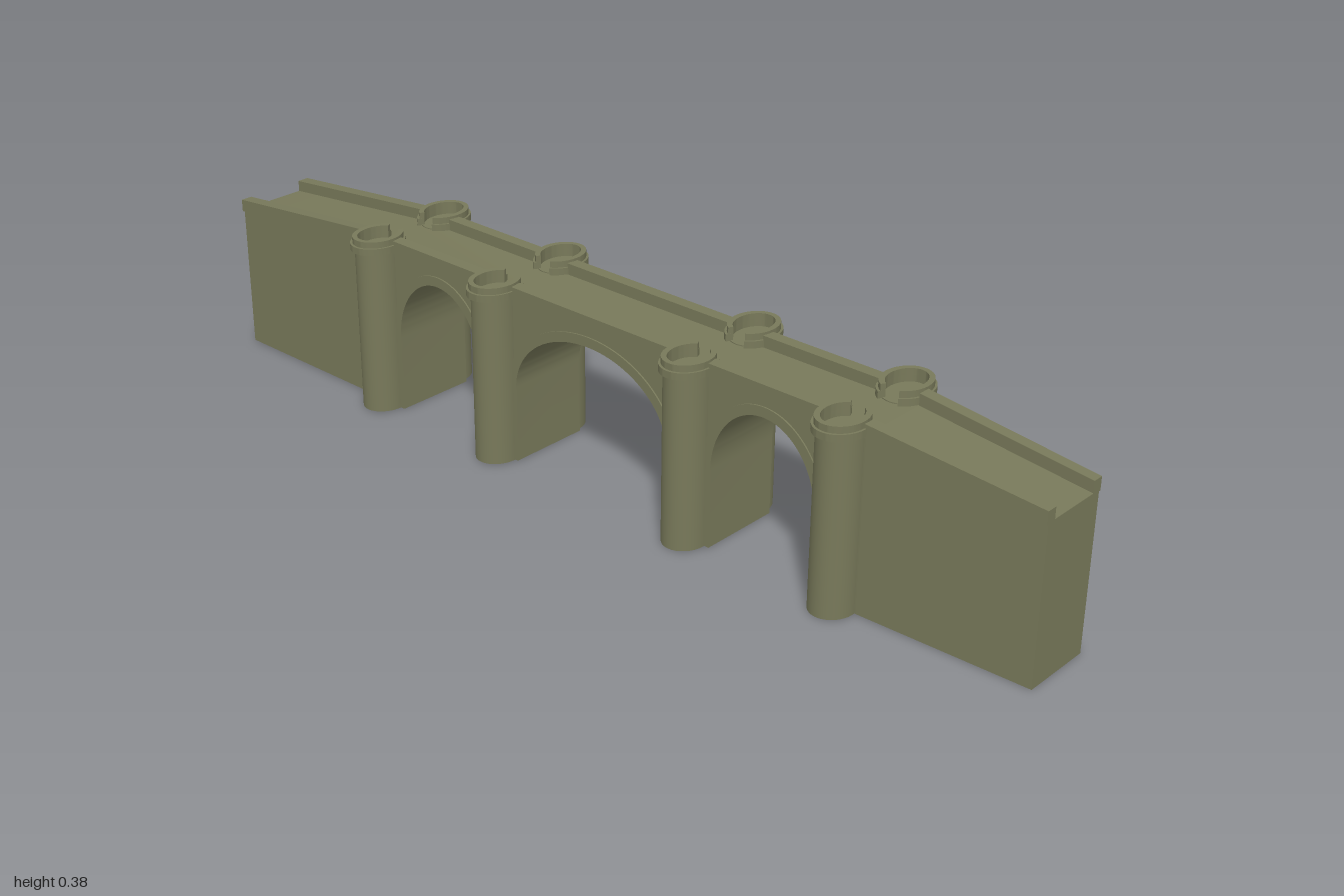
import * as THREE from 'three';
import { toCreasedNormals } from 'three/addons/utils/BufferGeometryUtils.js';

const stone = new THREE.MeshStandardMaterial({ color: 0x78795a, side: THREE.DoubleSide });

const PIERS = [-0.56, -0.225, 0.265, 0.605];
const ARCHES = [[-0.507, -0.275], [-0.175, 0.213], [0.318, 0.553]];
const SPRING = 0.16, RISE = 0.147, DECK = 0.348;
const RAMP_L = -0.6, RAMP_R = 0.65, HALF = 0.085;

// Ramps fall towards both ends; the +x ramp also narrows.
const drop = (x) => x < RAMP_L ? -0.04 * (RAMP_L - x) / 0.4
  : x > RAMP_R ? -0.035 * (x - RAMP_R) / 0.35 : 0;
const narrow = (x) => x > RAMP_R ? 1 - 0.13 * (x - RAMP_R) / 0.35 : 1;

function warp(geo, withDrop) {
  const p = geo.attributes.position;
  for (let i = 0; i < p.count; i++) {
    const x = p.getX(i);
    if (withDrop) p.setY(i, p.getY(i) + drop(x));
    p.setZ(i, p.getZ(i) * narrow(x));
  }
  return geo;
}

// Drop the triangles on the ground and on the hidden joint, leaving hollow shells.
function openShell(geo) {
  const src = geo.attributes.position, keep = [];
  const near = (a, b) => Math.abs(a - b) < 1e-5;
  for (let i = 0; i < src.count; i += 3) {
    const ids = [i, i + 1, i + 2];
    if (ids.every((k) => near(src.getY(k), 0))) continue;
    if (ids.every((k) => near(src.getX(k), RAMP_R))) continue;
    ids.forEach((k) => keep.push(src.getX(k), src.getY(k), src.getZ(k)));
  }
  const out = new THREE.BufferGeometry();
  out.setAttribute('position', new THREE.Float32BufferAttribute(keep, 3));
  return out;
}

function slab(shape, z0, z1) {
  const geo = new THREE.ExtrudeGeometry(shape, { depth: z1 - z0, bevelEnabled: false, curveSegments: 32 });
  return geo.translate(0, 0, z0);
}

export function createModel() {
  const group = new THREE.Group();
  const add = (name, geo) => {
    const mesh = new THREE.Mesh(geo, stone);
    mesh.name = name;
    group.add(mesh);
    return mesh;
  };
  const crease = (geo) => toCreasedNormals(geo, 0.6);

  // Main wall with three openings reaching the ground
  const wall = new THREE.Shape();
  wall.moveTo(-1, 0);
  for (const [a, b] of ARCHES) {
    wall.lineTo(a, 0);
    wall.lineTo(a, SPRING);
    wall.absellipse((a + b) / 2, SPRING, (b - a) / 2, RISE, Math.PI, 0, true, 0);
    wall.lineTo(b, 0);
  }
  wall.lineTo(RAMP_R, 0);
  wall.lineTo(RAMP_R, DECK);
  wall.lineTo(RAMP_L, DECK);
  wall.lineTo(-1, DECK + drop(-1));
  add('archedWall', crease(openShell(slab(wall, -HALF, HALF))));

  // Narrowing end ramp
  const ramp = new THREE.Shape([
    new THREE.Vector2(RAMP_R, 0), new THREE.Vector2(1, 0),
    new THREE.Vector2(1, DECK + drop(1)), new THREE.Vector2(RAMP_R, DECK),
  ]);
  add('endRamp', crease(openShell(warp(slab(ramp, -HALF, HALF), false))));

  // Parapet stretches between the refuges
  const stops = [-1, ...PIERS.flatMap((x) => [x - 0.042, x + 0.042]), 1];
  stops[1] = RAMP_L;
  stops[stops.length - 2] = RAMP_R;

  for (const side of [1, -1]) {
    for (let i = 0; i < stops.length; i += 2) {
      const a = stops[i], b = stops[i + 1];
      const box = new THREE.BoxGeometry(b - a, 0.026, 0.025);
      box.translate((a + b) / 2, 0.358, side * 0.0775);
      const geo = warp(box, true).toNonIndexed();
      geo.computeVertexNormals();
      add('parapet', geo);
    }

    // Raised bands around the arches
    for (const [a, b] of ARCHES) {
      const cx = (a + b) / 2, r = (b - a) / 2, w = 0.02;
      const band = new THREE.Shape();
      band.moveTo(cx - r - w, 0);
      band.lineTo(cx - r - w, SPRING);
      band.absellipse(cx, SPRING, r + w, RISE + w, Math.PI, 0, true, 0);
      band.lineTo(cx + r + w, 0);
      band.lineTo(cx + r, 0);
      band.lineTo(cx + r, SPRING);
      band.absellipse(cx, SPRING, r, RISE, 0, Math.PI, false, 0);
      band.lineTo(cx - r, 0);
      add('archBand', crease(slab(band, side > 0 ? HALF - 0.002 : -HALF - 0.003, side > 0 ? HALF + 0.003 : -HALF + 0.002)));
    }

    for (const x of PIERS) {
      // Oval pier drum, open underneath, its top being the refuge floor
      const drum = new THREE.CylinderGeometry(1, 1, 0.35, 32, 1, true);
      drum.scale(0.043, 1, 0.05).translate(x, 0.175, side * 0.09);
      add('pierDrum', drum);
      const floor = new THREE.CircleGeometry(1, 32).rotateX(-Math.PI / 2);
      floor.scale(0.043, 1, 0.05).translate(x, 0.35, side * 0.09);
      add('refugeFloor', floor);

      // Two-tier curved parapet, open towards the roadway
      const gap = 0.45, start = -Math.PI / 2 + gap, end = Math.PI * 1.5 - gap;
      const tiers = [[0.049, 0.06, 0.349, 0.363], [0.045, 0.055, 0.363, 0.376]];
      for (const [rx, rz, y0, y1] of tiers) {
        const arc = new THREE.Shape();
        arc.absellipse(0, 0, rx, rz, start, end, false, 0);
        arc.absellipse(0, 0, 0.034, 0.045, end, start, true, 0);
        const geo = slab(arc, 0, y1 - y0).rotateX(Math.PI / 2);
        const ring = add('refugeParapet', crease(geo));
        ring.position.set(x, y1, side * 0.09);
        if (side < 0) ring.rotation.y = Math.PI;
      }
    }
  }
  return group;
}
